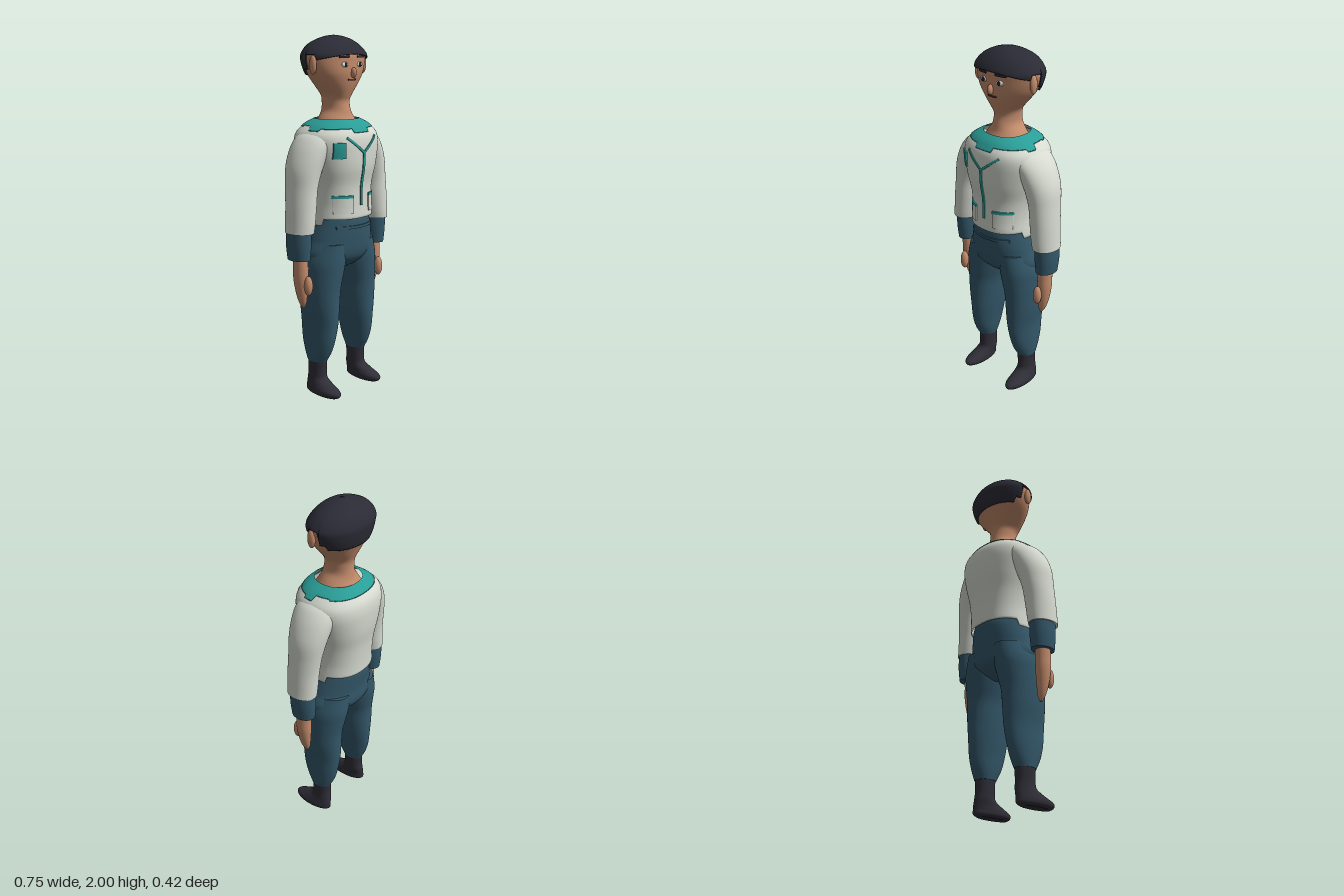
import * as THREE from 'three';

const mat = (name, color, side = THREE.FrontSide) => {
  const m = new THREE.MeshStandardMaterial({ color, side });
  m.name = name;
  return m;
};

// Profiles: rows of [y, centreX, centreZ, radiusX, radiusZ], lowest first
const HEAD = [
  [1.50, 0, 0, .14, .13], [1.56, 0, -.005, .10, .097], [1.60, 0, -.007, .072, .088],
  [1.65, 0, -.01, .07, .082], [1.68, 0, -.007, .078, .09], [1.72, 0, -.008, .112, .106],
  [1.76, 0, -.011, .147, .12], [1.80, 0, -.016, .175, .133], [1.86, 0, -.021, .198, .139],
  [1.90, 0, -.022, .198, .138], [1.95, 0, -.027, .152, .107], [1.98, 0, -.025, .092, .065],
  [1.994, 0, -.025, .042, .03], [2, 0, -.025, .002, .002]];
const TORSO = [
  [.97, 0, .003, .188, .177], [1.02, 0, .003, .184, .177], [1.1, 0, 0, .178, .176],
  [1.2, 0, -.004, .187, .18], [1.3, 0, -.004, .212, .196], [1.4, 0, -.006, .235, .2],
  [1.45, 0, -.006, .236, .196], [1.48, 0, -.006, .225, .187], [1.5, 0, -.006, .205, .174],
  [1.53, 0, -.005, .165, .147], [1.555, 0, -.003, .112, .11]];
const HIPS = [
  [.72, 0, 0, .05, .06], [.75, 0, 0, .15, .11], [.8, 0, 0, .232, .152],
  [.9, 0, .006, .213, .166], [1.0, 0, .003, .186, .174], [1.04, 0, .003, .176, .168]];
const LEG = [
  [.195, .16, 0, .051, .062], [.25, .157, .003, .06, .09], [.32, .154, .005, .067, .111],
  [.42, .147, .006, .077, .124], [.52, .147, .006, .09, .128], [.62, .144, .006, .098, .131],
  [.7, .134, .003, .109, .141], [.78, .124, 0, .116, .15], [.88, .11, 0, .1, .15]];
const BOOT = [
  [0, .17, .055, .035, .1], [.012, .17, .056, .05, .121], [.035, .17, .056, .053, .122],
  [.06, .167, .03, .048, .096], [.09, .162, .003, .045, .066], [.13, .16, 0, .045, .058],
  [.21, .16, 0, .049, .06]];
const SLEEVE = [
  [.96, .305, .01, .07, .088], [1.0, .3, .01, .072, .09], [1.1, .29, .008, .076, .092],
  [1.2, .279, .002, .078, .098], [1.3, .256, -.002, .09, .11], [1.38, .22, -.003, .096, .12],
  [1.44, .18, -.003, .098, .122], [1.48, .145, -.003, .09, .105], [1.5, .12, -.003, .06, .07]];
const CUFF = [[.81, .305, .004, .053, .07], [.89, .306, .004, .06, .077], [.98, .305, .005, .06, .078]];
const HAND = [
  [.53, .277, .008, .006, .008], [.56, .283, .009, .019, .022], [.62, .292, .01, .03, .034],
  [.7, .298, .01, .038, .043], [.77, .299, .01, .039, .044], [.84, .302, .008, .038, .042]];

// Smooth interpolation of a profile at height y
function sample(p, y) {
  let i = 0;
  while (i < p.length - 2 && y > p[i + 1][0]) i++;
  const a = p[i], b = p[i + 1], h = b[0] - a[0];
  const t = THREE.MathUtils.clamp((y - a[0]) / h, 0, 1);
  const slope = (k, c) => {
    const q = p[Math.max(0, k - 1)], r = p[Math.min(p.length - 1, k + 1)];
    return (r[c] - q[c]) / (r[0] - q[0]) * h;
  };
  return [1, 2, 3, 4].map(c => {
    const t2 = t * t, t3 = t2 * t;
    return (2 * t3 - 3 * t2 + 1) * a[c] + (t3 - 2 * t2 + t) * slope(i, c)
      + (3 * t2 - 2 * t3) * b[c] + (t3 - t2) * slope(i + 1, c);
  });
}

// Skin over a profile; low may vary with the angle, off puffs it outward
function shell(p, { low = p[0][0], high = p[p.length - 1][0], off = 0, exp = 2, side = 1, n = 64, rows = 40, caps = true } = {}) {
  const pos = [], idx = [];
  const bend = v => Math.sign(v) * Math.abs(v) ** (2 / exp);
  const ring = (t, o) => {
    for (let j = 0; j < n; j++) {
      const th = j / n * Math.PI * 2, c = Math.cos(th), s = Math.sin(th);
      const l = typeof low === 'function' ? low(c, s) : low;
      const y = l + (high - l) * t, [cx, cz, rx, rz] = sample(p, y);
      pos.push(side * cx + (rx + o) * bend(c), y, cz + (rz + o) * bend(s));
    }
  };
  if (off) ring(0, -.002); // rim of the hem
  for (let r = 0; r <= rows; r++) ring(r / rows, off);
  const count = pos.length / 3 / n;
  for (let r = 0; r < count - 1; r++) for (let j = 0; j < n; j++) {
    const a = r * n + j, b = r * n + (j + 1) % n;
    idx.push(a, a + n, b, b, a + n, b + n);
  }
  const cap = (r, flip) => {
    const start = pos.length / 3, mid = [0, 0, 0];
    for (let j = 0; j < n; j++) for (let k = 0; k < 3; k++) {
      const v = pos[(r * n + j) * 3 + k];
      pos.push(v);
      mid[k] += v / n;
    }
    pos.push(...mid);
    for (let j = 0; j < n; j++) {
      const a = start + j, b = start + (j + 1) % n;
      idx.push(start + n, ...(flip ? [b, a] : [a, b]));
    }
  };
  if (caps) { cap(0, false); cap(count - 1, true); }
  const g = new THREE.BufferGeometry();
  g.setAttribute('position', new THREE.Float32BufferAttribute(pos, 3));
  g.setIndex(idx);
  g.computeVertexNormals();
  return g;
}

// Thin plate from (x0,y0) to (x1,y1), w wide, wrapped on the front of a profile
function plate(p, exp, x0, y0, x1, y1, w, lift = .006) {
  const g = new THREE.BoxGeometry(Math.hypot(x1 - x0, y1 - y0), w, .009, 10, 6, 1);
  g.rotateZ(Math.atan2(y1 - y0, x1 - x0)).translate((x0 + x1) / 2, (y0 + y1) / 2, lift);
  const a = g.attributes.position;
  for (let i = 0; i < a.count; i++) {
    const [, cz, rx, rz] = sample(p, a.getY(i));
    const u = Math.min(.98, Math.abs(a.getX(i) / rx));
    a.setZ(i, a.getZ(i) + cz + rz * (1 - u ** exp) ** (1 / exp));
  }
  g.computeVertexNormals();
  return g;
}

export function createModel() {
  const model = new THREE.Group();
  const skin = mat('skin', 0xc48c6c), cloth = mat('jacket white', 0xd6dad0, THREE.DoubleSide);
  const teal = mat('teal trim', 0x2a9d97, THREE.DoubleSide), navy = mat('trouser blue', 0x34586a);
  const hairMat = mat('hair', 0x2b2b36, THREE.DoubleSide), bootMat = mat('boot', 0x302e37);
  const white = mat('eye white', 0xe6e6e2), dark = mat('eye dark', 0x22222a), lip = mat('lip', 0x5c342c);
  const add = (name, geo, m) => {
    const mesh = new THREE.Mesh(geo, m);
    mesh.name = name;
    model.add(mesh);
    return mesh;
  };
  const ball = (name, m, x, y, z, rx, ry, rz) => {
    const b = add(name, new THREE.SphereGeometry(1, 20, 14), m);
    b.position.set(x, y, z);
    b.scale.set(rx, ry, rz);
    return b;
  };

  // Head and hair
  add('head', shell(HEAD, { high: 1.94 }), skin);
  const hairline = (c, s) => s > .35 ? 1.897 - .032 * c * c : s > -.1 ? 1.895 : s > -.35 ? 1.82 : 1.79;
  add('hair', shell(HEAD, { low: hairline, off: .011, n: 96, caps: false }), hairMat);
  add('hairCrown', new THREE.SphereGeometry(.014, 12, 6).scale(1, .1, 1).translate(0, 1.999, -.025), hairMat);

  // Face
  ball('nose', skin, 0, 1.802, .122, .014, .028, .02);
  add('mouth', plate(HEAD, 2, -.028, 1.764, .028, 1.764, .009, .001), lip);

  // Torso
  const hem = c => Math.abs(c) > .95 ? .985 : 1.02;
  add('jacket', shell(TORSO, { low: hem, high: 1.535, off: .005, exp: 2.3, n: 96, caps: false }), cloth);
  const neckline = (c, s) => s > 0 ? (Math.abs(c) < .24 ? 1.487 : s < .3 ? 1.497 : 1.508) : (s > -.4 ? 1.52 : 1.514);
  add('collar', shell(TORSO, { low: neckline, off: .009, exp: 2.3, n: 128, rows: 12, caps: false }), teal);
  add('hips', shell(HIPS), navy);
  add('belt', plate(HIPS, 2, -.14, .972, .14, .972, .016, .003), navy);

  // Zip and badge
  add('zip', plate(TORSO, 2.3, 0, 1.09, 0, 1.385, .015), teal);
  add('badge', plate(TORSO, 2.3, -.182, 1.398, -.124, 1.398, .085, .01), teal);

  for (const side of [1, -1]) {
    const s = side > 0 ? 'left' : 'right';
    // Face pairs
    ball(s + 'Eye', white, side * .057, 1.845, .112, .024, .014, .009);
    ball(s + 'Iris', dark, side * .056, 1.845, .119, .011, .012, .005);
    add(s + 'Brow', plate(HEAD, 2, side * .032, 1.886, side * .095, 1.884, .011, .003), hairMat);
    ball(s + 'Ear', skin, side * .197, 1.843, .012, .016, .05, .023);
    // Jacket front
    add(s + 'Piping', plate(TORSO, 2.3, 0, 1.38, side * .11, 1.465, .013), teal);
    add(s + 'Pocket', plate(TORSO, 2.3, side * .062, 1.096, side * .155, 1.096, .09, .008), cloth);
    add(s + 'PocketTrim', plate(TORSO, 2.3, side * .06, 1.143, side * .158, 1.143, .015, .01), teal);
    // Limbs
    add(s + 'Sleeve', shell(SLEEVE, { side }), cloth);
    add(s + 'Cuff', shell(CUFF, { side, rows: 10 }), navy);
    add(s + 'Hand', shell(HAND, { side, n: 32, rows: 24 }), skin);
    ball(s + 'Thumb', skin, side * .291, .667, .062, .024, .055, .024);
    add(s + 'Leg', shell(LEG, { side }), navy);
    add(s + 'Boot', shell(BOOT, { side }), bootMat);
  }
  return model;
}
